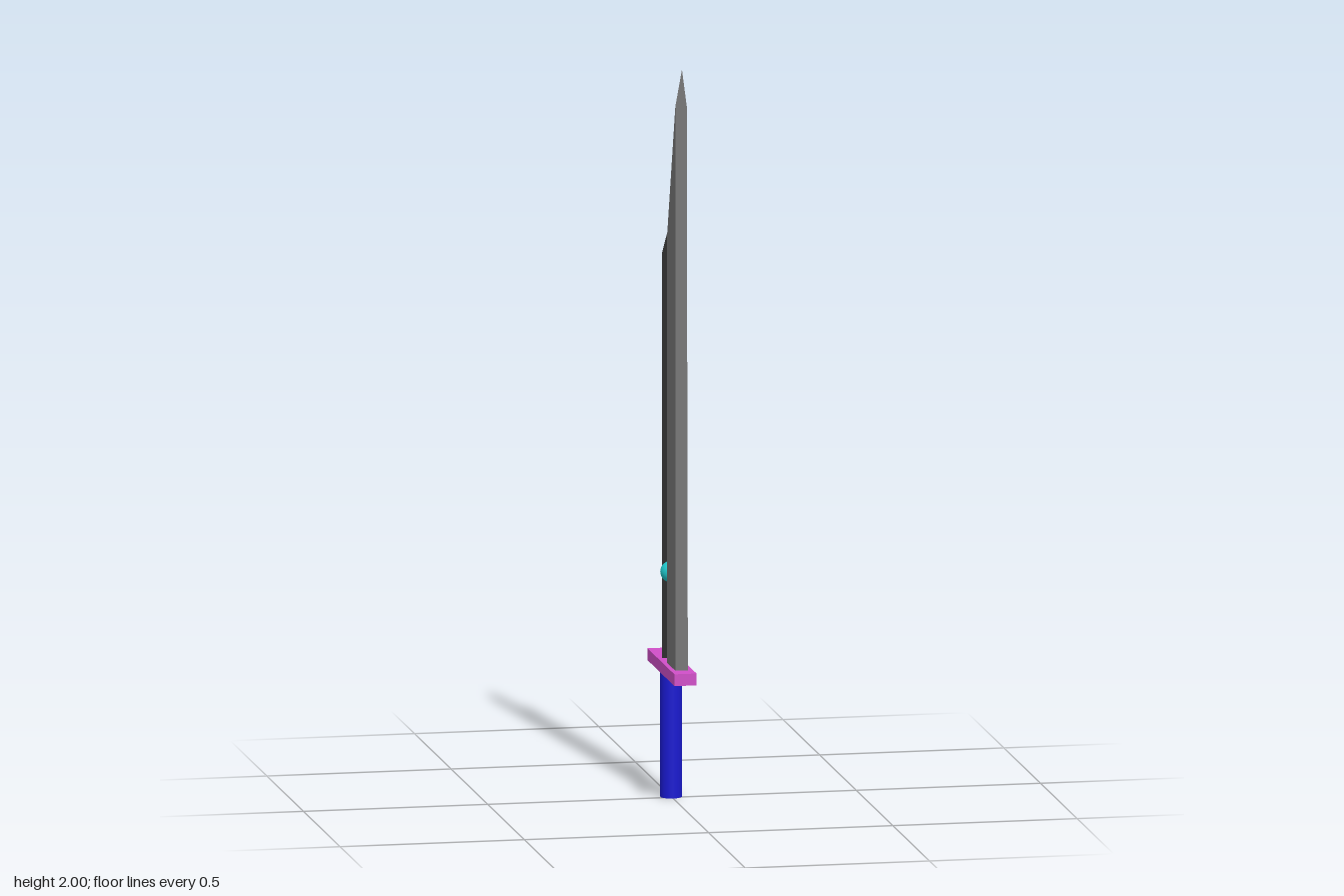
import * as THREE from 'three';

function part(name, geometry, color, x, y, z, flatShading = false) {
  const mesh = new THREE.Mesh(geometry, new THREE.MeshStandardMaterial({ color, flatShading }));
  mesh.name = name;
  mesh.position.set(x, y, z);
  return mesh;
}

// Upright blade with a ridged, slanted top. Each end is
// { z, left, right, ridge, shoulder }: a station along the blade's width.
function bladeGeometry(base, front, back) {
  const ring = [
    [front.left, front.shoulder, front.z],
    [0, front.ridge, front.z],
    [front.right, front.shoulder, front.z],
    [back.right, back.shoulder, back.z],
    [0, back.ridge, back.z],
    [back.left, back.shoulder, back.z],
  ].map(p => new THREE.Vector3(...p));
  // the foot is a little wider than the top on the +x side
  const foot = ring.map(p => new THREE.Vector3(p.x > 0 ? p.x + 0.003 : p.x, base, p.z));

  const points = [];
  const tri = (a, b, c) => {
    const area = b.clone().sub(a).cross(c.clone().sub(a)).length();
    if (area > 1e-9) points.push(a, b, c); // skips collapsed faces at a sharp edge
  };
  const quad = (a, b, c, d) => { tri(a, b, c); tri(a, c, d); };

  ring.forEach((top, i) => {
    const j = (i + 1) % ring.length;
    quad(foot[i], foot[j], ring[j], top);
  });
  // two slopes meeting on the ridge, then the underside
  quad(ring[0], ring[1], ring[4], ring[5]);
  quad(ring[1], ring[2], ring[3], ring[4]);
  quad(foot[5], foot[4], foot[1], foot[0]);
  quad(foot[4], foot[3], foot[2], foot[1]);

  const geometry = new THREE.BufferGeometry().setFromPoints(points);
  geometry.computeVertexNormals();
  return geometry;
}

export function createModel() {
  const model = new THREE.Group();
  model.name = 'twinBladeSword';

  // Grip, guard and floating gem
  model.add(part('grip', new THREE.CylinderGeometry(0.029, 0.029, 0.34, 32), 0x1a1ad0, 0, 0.17, -0.012));
  model.add(part('guard', new THREE.BoxGeometry(0.06, 0.032, 0.37), 0xd04fc8, 0, 0.354, 0));
  model.add(part('gem', new THREE.SphereGeometry(0.029, 32, 16), 0x20c8cc, 0, 0.61, -0.012));

  // Long blade: full thickness from front to back
  const longBlade = bladeGeometry(0.365,
    { z: 0.136, left: -0.018, right: 0.013, ridge: 2.0, shoulder: 1.9 },
    { z: 0.021, left: -0.018, right: 0.013, ridge: 1.6, shoulder: 1.52 });
  model.add(part('longBlade', longBlade, 0x777777, 0, 0, 0, true));

  // Short blade: narrows to a sharp rear edge
  const shortBlade = bladeGeometry(0.365,
    { z: -0.044, left: -0.018, right: 0.016, ridge: 1.54, shoulder: 1.47 },
    { z: -0.132, left: 0, right: 0, ridge: 1.14, shoulder: 1.14 });
  model.add(part('shortBlade', shortBlade, 0x2a2a2a, 0, 0, 0, true));

  return model;
}
